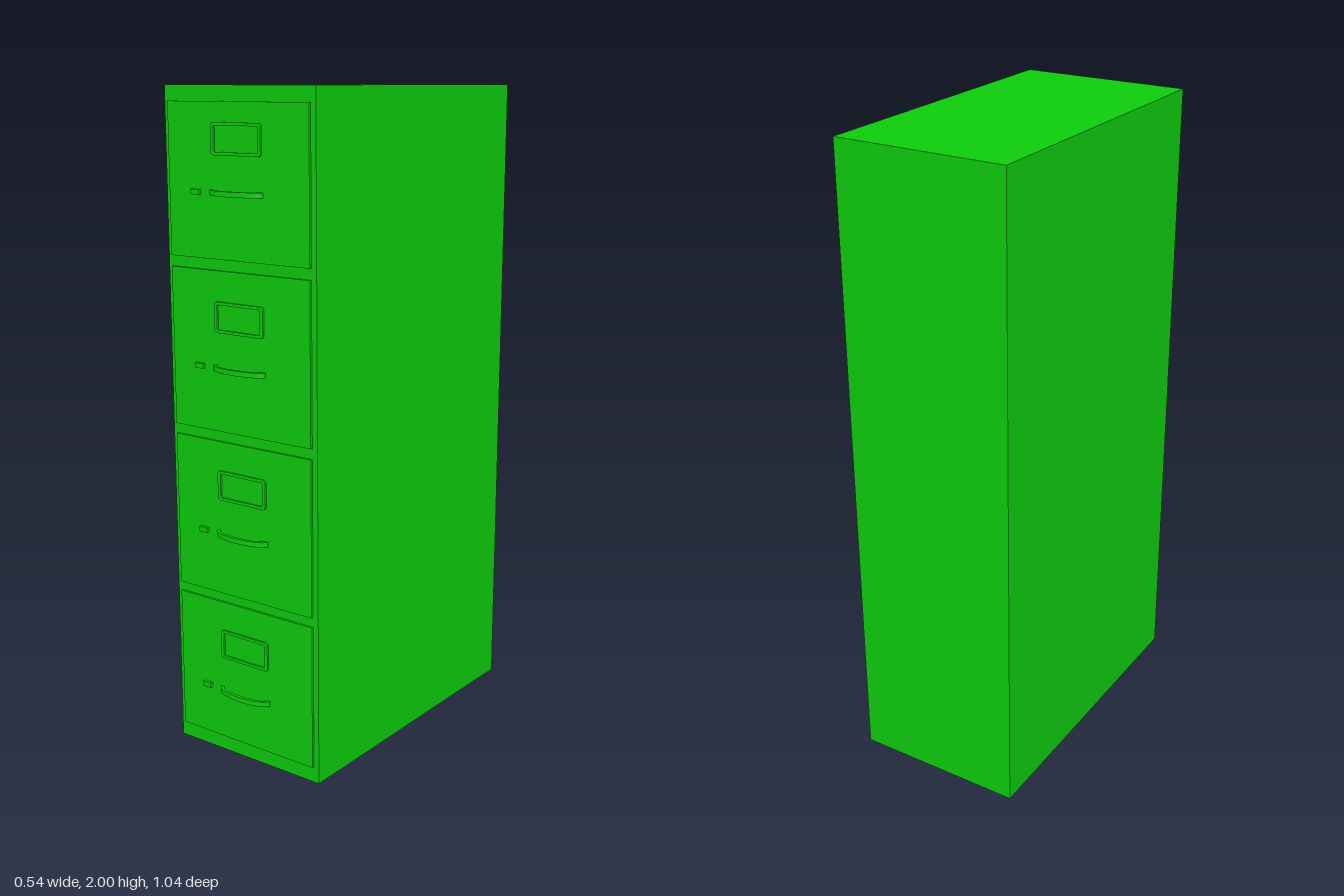
import * as THREE from 'three';

const green = new THREE.MeshStandardMaterial({ color: 0x0dcc0d });
const FACE = 0.487; // front plane of the drawers

function add(parent, name, geometry, x = 0, y = 0, z = 0) {
  const mesh = new THREE.Mesh(geometry, green);
  mesh.name = name;
  mesh.position.set(x, y, z);
  parent.add(mesh);
  return mesh;
}

// Rounded rectangle outline centred on the origin
function roundedRect(path, w, h, r) {
  const x = w / 2 - r, y = h / 2 - r;
  path.absarc(x, y, r, 0, Math.PI / 2);
  path.absarc(-x, y, r, Math.PI / 2, Math.PI);
  path.absarc(-x, -y, r, Math.PI, Math.PI * 1.5);
  path.absarc(x, -y, r, Math.PI * 1.5, Math.PI * 2);
  path.closePath();
  return path;
}

// Open frame that holds a label card
function labelFrameGeometry() {
  const shape = roundedRect(new THREE.Shape(), 0.18, 0.09, 0.01);
  shape.holes.push(roundedRect(new THREE.Path(), 0.158, 0.072, 0.004));
  return new THREE.ExtrudeGeometry(shape, { depth: 0.006, bevelEnabled: false, curveSegments: 5 });
}

// Bowed pull: the band between two half ellipses, extruded vertically
function handleGeometry() {
  const shape = new THREE.Shape();
  shape.moveTo(0.095, 0);
  shape.absellipse(0, 0, 0.095, 0.033, 0, Math.PI, false);
  shape.lineTo(-0.084, 0);
  shape.absellipse(0, 0, 0.084, 0.023, Math.PI, 0, true);
  shape.closePath();
  const g = new THREE.ExtrudeGeometry(shape, { depth: 0.015, bevelEnabled: false, curveSegments: 16 });
  return g.translate(0, 0, -0.0075).rotateX(Math.PI / 2);
}

export function createModel() {
  const cabinet = new THREE.Group();
  cabinet.name = 'filingCabinet';

  // Case
  add(cabinet, 'case', new THREE.BoxGeometry(0.54, 2, 1), 0, 1, -0.02);

  const frame = labelFrameGeometry();
  const handle = handleGeometry();
  const latch = new THREE.BoxGeometry(0.03, 0.015, 0.012);

  // Four drawers, each [bottom, top]; the outer two are a little shorter
  const spans = [[0.048, 0.488], [0.517, 0.987], [1.018, 1.488], [1.52, 1.956]];
  spans.forEach(([bottom, top], i) => {
    const drawer = new THREE.Group();
    drawer.name = `drawer${i + 1}`;
    const base = i * 0.5;
    add(drawer, 'drawerFront', new THREE.BoxGeometry(0.506, top - bottom, 0.012),
      -0.001, (bottom + top) / 2, FACE - 0.006);
    add(drawer, 'labelFrame', frame, 0, base + 0.355, FACE);
    add(drawer, 'handle', handle, -0.002, base + 0.207, FACE);
    add(drawer, 'latch', latch, -0.149, base + 0.207, FACE + 0.004);
    cabinet.add(drawer);
  });

  return cabinet;
}
